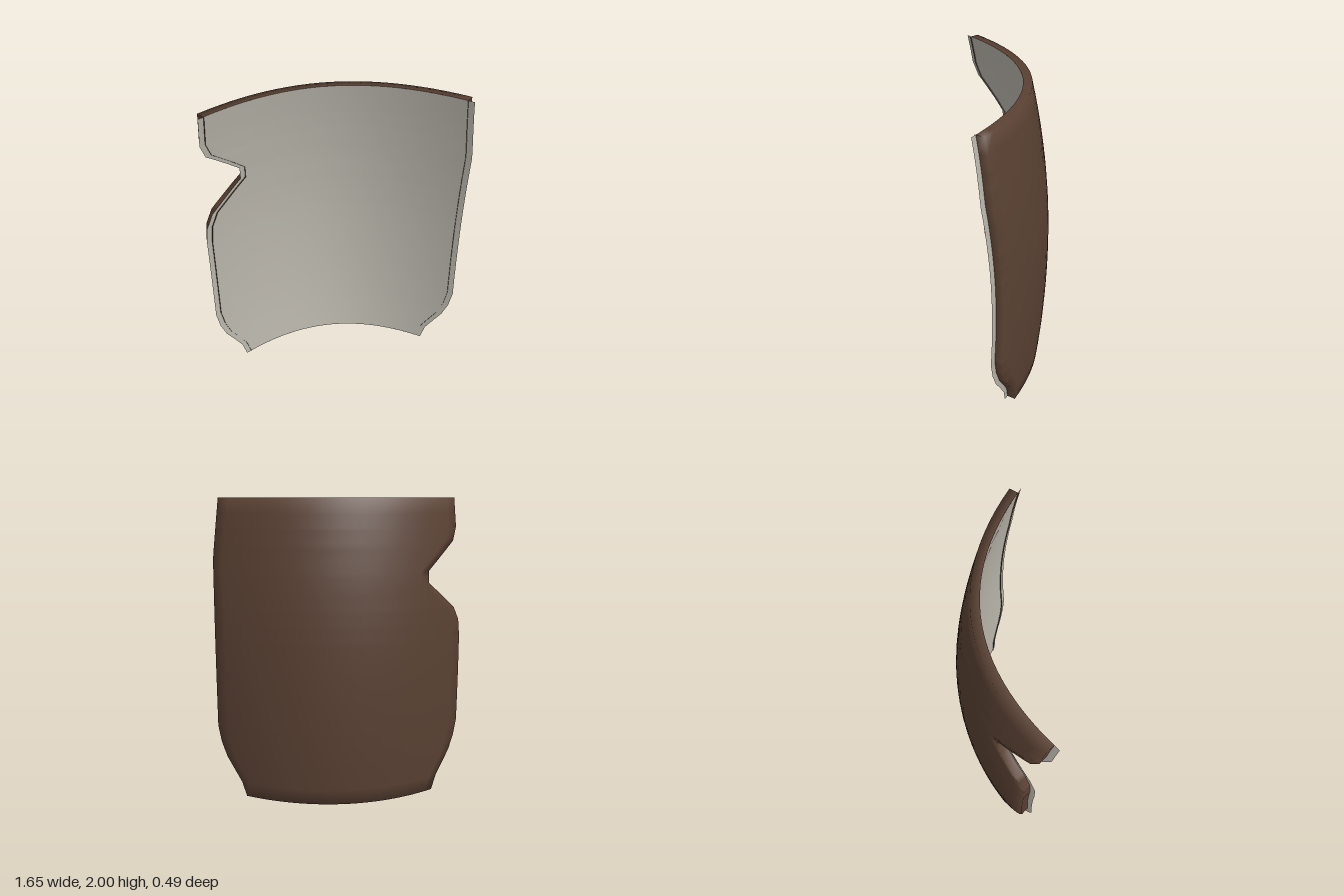
import * as THREE from 'three';

const brown = new THREE.MeshStandardMaterial({ color: 0x5a4133, side: THREE.DoubleSide });
brown.name = 'brown shell';
const grey = new THREE.MeshStandardMaterial({ color: 0xb9b5ab, side: THREE.DoubleSide });
grey.name = 'pale grey lining';

const THICK = 0.055, LIP = 0.03, COLS = 24;

// Edge outlines as [y, x], bottom to top
const lower = [[0, 0.61], [0.1, 0.64], [0.27, 0.735], [0.37, 0.77], [0.48, 0.79]];
const plainEdge = [...lower, [1.6, 0.79], [1.68, 0.783], [2, 0.75]];
const notchedEdge = [...lower, [1.08, 0.79], [1.19, 0.78], [1.28, 0.74], [1.455, 0.55],
  [1.535, 0.55], [1.72, 0.735], [1.81, 0.76], [2, 0.75]];

function edgeAt(edge, y) {
  for (let k = 1; k < edge.length; k++) {
    const [y0, x0] = edge[k - 1], [y1, x1] = edge[k];
    if (y <= y1) return x0 + (x1 - x0) * (y - y0) / (y1 - y0);
  }
  return edge[edge.length - 1][1];
}

// Row heights: every outline corner plus regular steps
const ys = [...plainEdge, ...notchedEdge].map(p => p[0]);
for (let k = 0; k <= 20; k++) ys.push(k / 10);
const rows = ys.sort((a, b) => a - b).filter((y, i) => i === 0 || y - ys[i - 1] > 0.001);

// Point on the doubly curved inner surface, moved by d along its normal (front is positive)
function surface(x, y, d = 0) {
  const bow = (y > 0.9 ? 0.1 : 0.07) * (y - 0.9) ** 2;
  const slope = 1.04 * x, len = Math.hypot(1, slope);
  return [x - slope / len * d, y, -0.19 + bow + 0.52 * x * x + d / len];
}

function across(y, t, lip) {
  const left = -edgeAt(notchedEdge, y) - lip, right = edgeAt(plainEdge, y) + lip;
  return left + (right - left) * t;
}

// Join rows of points into a smooth surface
function gridGeometry(grid, flip) {
  const w = grid[0].length, index = [];
  for (let j = 0; j < grid.length - 1; j++) {
    for (let i = 0; i < w - 1; i++) {
      const a = j * w + i, b = a + 1, c = b + w, d = a + w;
      if (flip) index.push(a, b, d, b, c, d);
      else index.push(a, d, b, b, d, c);
    }
  }
  const g = new THREE.BufferGeometry();
  g.setAttribute('position', new THREE.Float32BufferAttribute(grid.flat(2), 3));
  g.setIndex(index);
  g.computeVertexNormals();
  return g;
}

export function createModel() {
  const group = new THREE.Group();
  group.name = 'curvedShield';
  const steps = Array.from({ length: COLS + 1 }, (_, i) => i / COLS);

  // Convex back, wrapped around to side walls that stand just proud of the lining
  const backRow = y => [
    surface(across(y, 0, 0), y, 0.008),
    ...steps.map(t => surface(across(y, t, 0), y, -THICK)),
    surface(across(y, 1, 0), y, 0.008),
  ];
  // Top and bottom walls close the rim
  const rimRow = y => [0, ...steps, 1].map(t => surface(across(y, t, 0), y, 0));
  const shell = new THREE.Mesh(
    gridGeometry([rimRow(0), ...rows.map(backRow), rimRow(2)], false), brown);
  shell.name = 'outerShell';
  group.add(shell);

  // Concave lining, overhanging the shell on both sides
  const lining = new THREE.Mesh(
    gridGeometry(rows.map(y => steps.map(t => surface(across(y, t, LIP), y))), true), grey);
  lining.name = 'innerLining';
  group.add(lining);

  return group;
}
